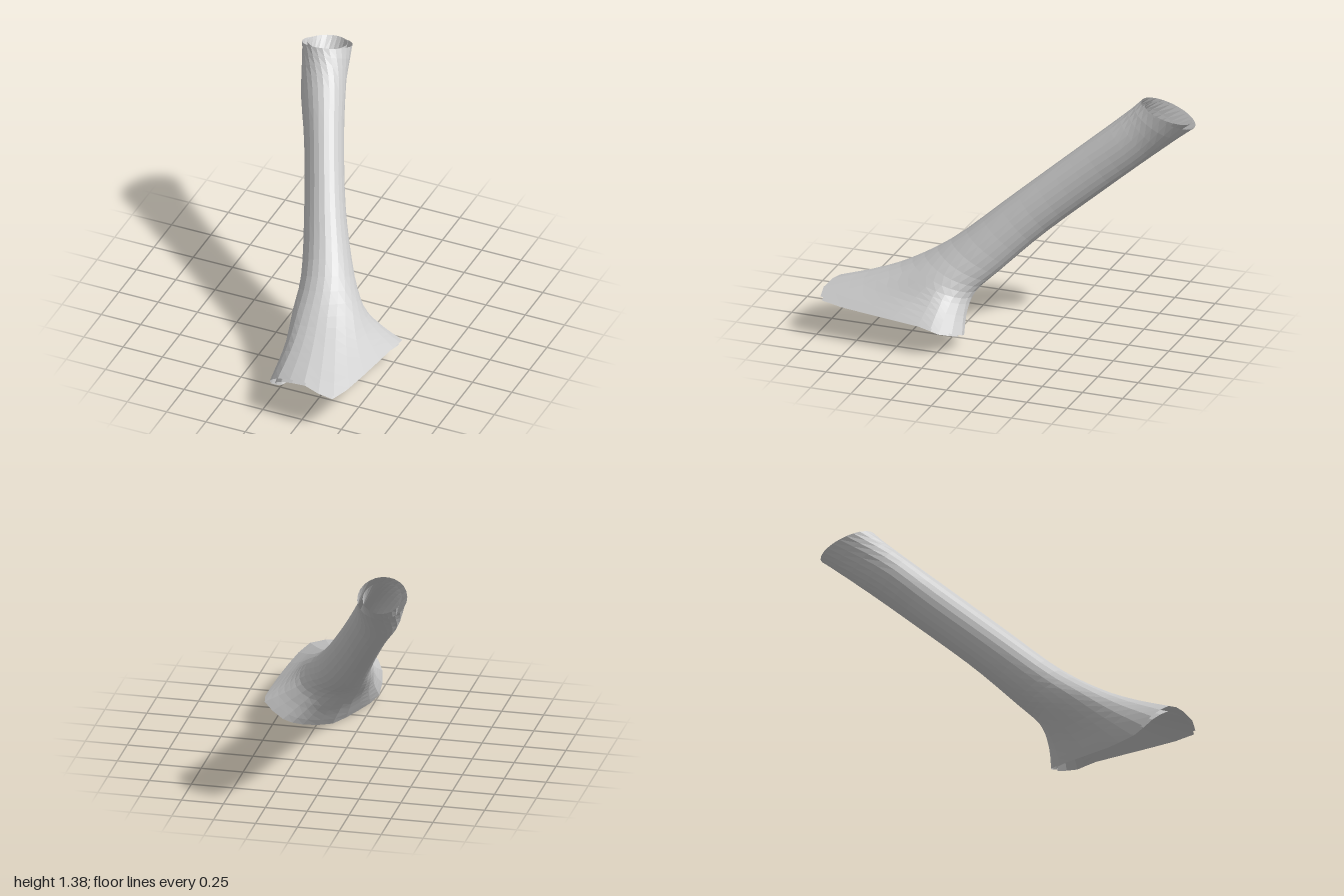
import * as THREE from 'three';

const SIDES = 24, STEPS = 24, THICK = 0.032;
const V = (p) => new THREE.Vector3(...p);

// Tube sections: centre, side half-axis, upper half-axis
const sections = [
  [[-0.41, 1.312, -0.84], [0.145, 0.012, 0], [0, 0.067, 0.16]],
  [[-0.342, 1.137, -0.63], [0.12, 0, -0.051], [0.035, 0.118, 0.082]],
  [[-0.23, 0.94, -0.39], [0.107, 0, -0.045], [0.035, 0.117, 0.083]],
  [[-0.09, 0.69, -0.09], [0.112, 0, -0.047], [0.035, 0.114, 0.086]],
  [[0.043, 0.46, 0.17], [0.14, 0, -0.06], [0.04, 0.09, 0.127]],
  [[0.13, 0.33, 0.35], [0.195, 0.01, -0.055], [0.02, 0.07, 0.2]],
].map((s) => s.map(V));

// Saddle-shaped rim of the flared base, every 30 degrees
const rim = new THREE.CatmullRomCurve3([
  [0.54, 0.18, 0.35], [0.51, 0.2, 0.7], [0.45, 0.22, 0.995], [0.26, 0.26, 0.99],
  [0.08, 0.22, 0.965], [-0.005, 0.13, 0.89], [-0.015, 0.025, 0.77], [0.06, 0, 0.58],
  [0.16, 0.005, 0.33], [0.3, 0.05, 0.17], [0.41, 0.09, 0.13], [0.54, 0.15, 0.22],
].map(V), true, 'catmullrom', 0.4);
const throat = V([0.22, 0.2, 0.5]);

// Open skin from rings of points, each ring closed on itself
function skin(rings, flip = false) {
  const pos = rings.flat().flatMap((p) => p.toArray());
  const index = [];
  for (let i = 0; i < rings.length - 1; i++) {
    for (let j = 0; j < SIDES; j++) {
      const k = (j + 1) % SIDES;
      const a = i * SIDES + j, b = i * SIDES + k, c = a + SIDES, d = b + SIDES;
      if (flip) index.push(a, c, b, b, c, d);
      else index.push(a, b, c, b, d, c);
    }
  }
  const g = new THREE.BufferGeometry();
  g.setAttribute('position', new THREE.Float32BufferAttribute(pos, 3));
  g.setIndex(index);
  g.computeVertexNormals();
  return g;
}

export function createModel() {
  const group = new THREE.Group();
  group.name = 'flaredTube';
  const grey = new THREE.MeshStandardMaterial({ color: 0xcccccc, flatShading: true, side: THREE.DoubleSide });
  grey.name = 'light grey';
  const add = (name, geometry) => {
    const mesh = new THREE.Mesh(geometry, grey);
    mesh.name = name;
    group.add(mesh);
  };

  // Lengthwise curves from the narrow end, drawn in slightly at the throat, to the flared rim
  const lines = [];
  for (let j = 0; j < SIDES; j++) {
    const t = (j / SIDES) * Math.PI * 2;
    const pts = sections.map(([c, a, b]) =>
      c.clone().addScaledVector(a, Math.cos(t)).addScaledVector(b, Math.sin(t)));
    const end = rim.getPoint(j / SIDES);
    pts.push(pts[pts.length - 1].clone().lerp(end, 0.5).lerp(throat, 0.05), end);
    lines.push(new THREE.CatmullRomCurve3(pts, false, 'catmullrom', 0.5));
  }
  const outer = [];
  for (let i = 0; i <= STEPS; i++) outer.push(lines.map((l) => l.getPoint(i / STEPS)));
  for (const p of outer.flat()) p.y = Math.max(p.y, 0);
  const outerGeo = skin(outer);

  // Inner wall, offset inward along the outer normals; the gap at both ends stays open
  const n = outerGeo.attributes.normal;
  const inner = outer.map((ring, i) => ring.map((p, j) => {
    const q = p.clone().addScaledVector(new THREE.Vector3().fromBufferAttribute(n, i * SIDES + j), -THICK);
    q.y = Math.max(q.y, 0);
    return q;
  }));

  add('outerWall', outerGeo);
  add('innerWall', skin(inner, true));
  return group;
}
